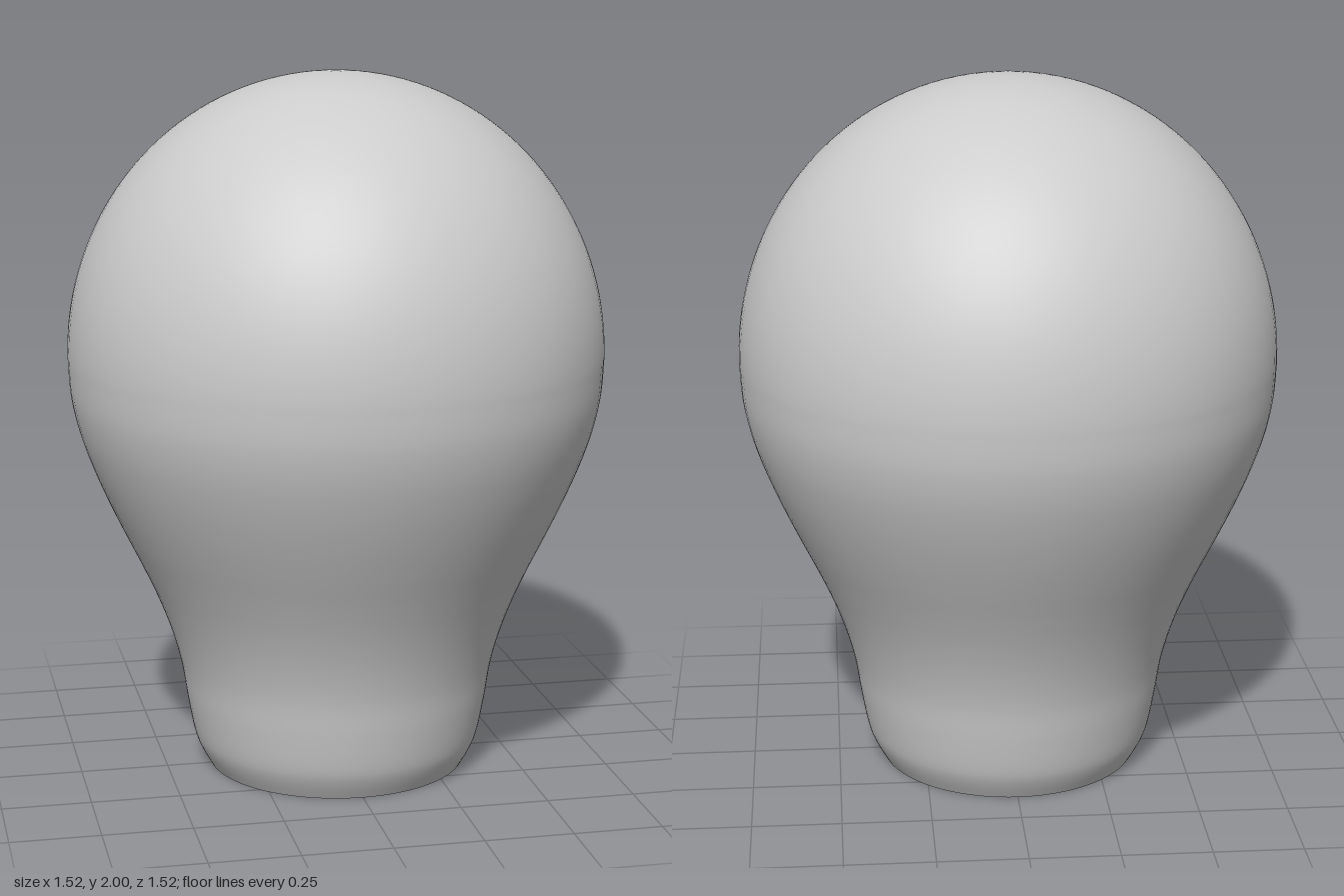
import * as THREE from 'three';

export function createModel() {
  const group = new THREE.Group();
  group.name = 'bulb';

  // Neck: from the open rim up to the widest ring
  const neck = new THREE.SplineCurve([
    [0.37, 0], [0.398, 0.05], [0.416, 0.1], [0.435, 0.2], [0.451, 0.3], [0.478, 0.4],
    [0.515, 0.5], [0.56, 0.6], [0.609, 0.7], [0.656, 0.8], [0.698, 0.9],
    [0.732, 1.0], [0.753, 1.1], [0.76, 1.21],
  ].map(([r, y]) => new THREE.Vector2(r, y)));
  const profile = neck.getPoints(52);

  // Dome: quarter ellipse closing at the top
  const steps = 36;
  for (let i = 1; i <= steps; i++) {
    const a = (i / steps) * Math.PI / 2;
    profile.push(new THREE.Vector2(i === steps ? 0 : 0.76 * Math.cos(a), 1.21 + 0.79 * Math.sin(a)));
  }

  // Thin hollow shell, open at the bottom
  const shell = new THREE.Mesh(
    new THREE.LatheGeometry(profile, 96),
    new THREE.MeshStandardMaterial({ color: 0xcccccc, side: THREE.DoubleSide })
  );
  shell.name = 'glassShell';
  group.add(shell);
  return group;
}
